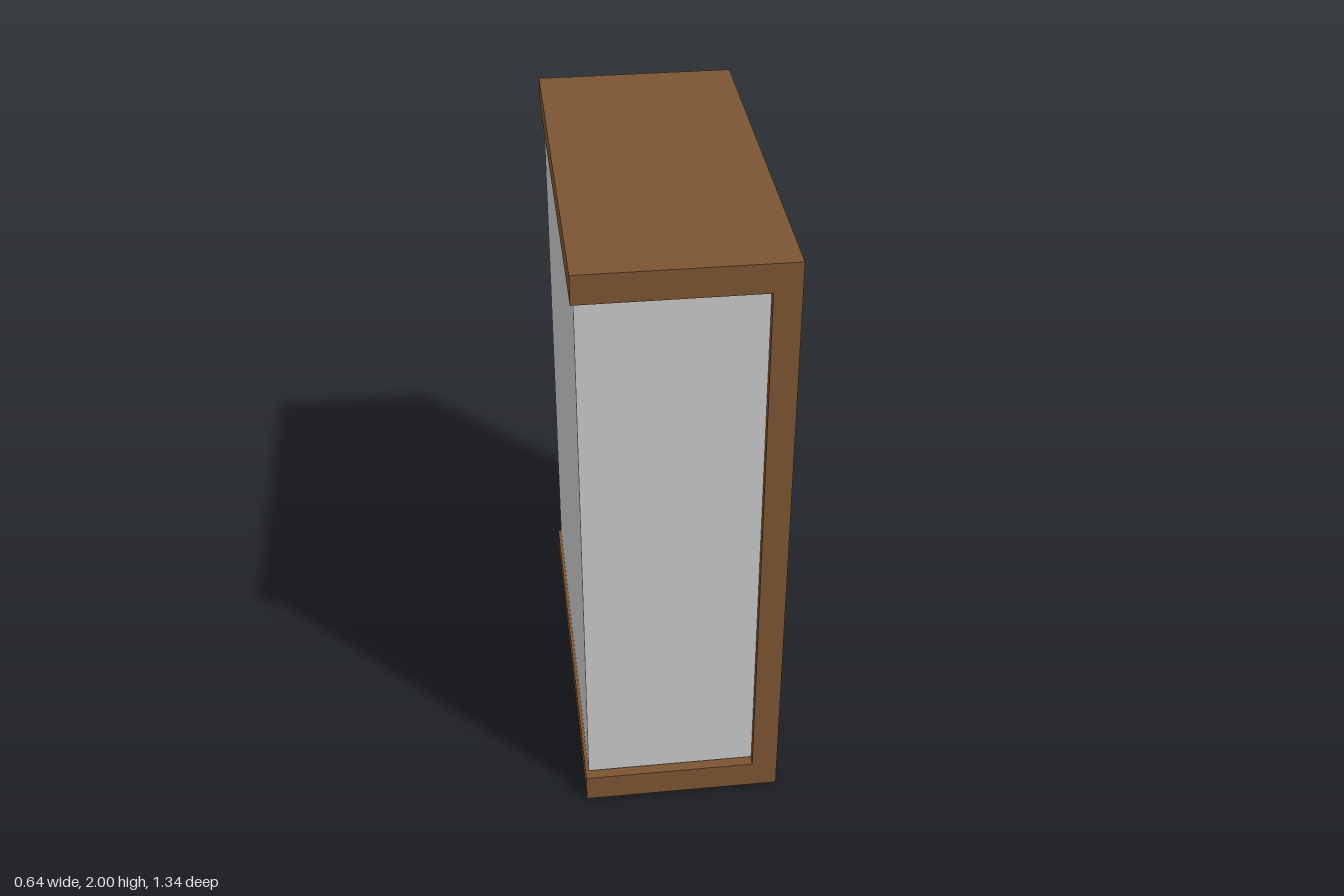
import * as THREE from 'three';

const cover = new THREE.MeshStandardMaterial({ color: 0x7b5533 });
cover.name = 'brownCover';
const paper = new THREE.MeshStandardMaterial({ color: 0xc9c9c9 });
paper.name = 'greyPaper';

export function createModel() {
  const group = new THREE.Group();
  group.name = 'book';

  // Box given by its min and max corners
  const block = (name, material, [x0, y0, z0], [x1, y1, z1]) => {
    const mesh = new THREE.Mesh(new THREE.BoxGeometry(x1 - x0, y1 - y0, z1 - z0), material);
    mesh.position.set((x0 + x1) / 2, (y0 + y1) / 2, (z0 + z1) / 2);
    mesh.name = name;
    group.add(mesh);
  };

  // C-shaped binding: two boards joined by the spine
  const W = 0.32, D = 0.671, spineX = 0.237, low = 0.095, high = 1.907;
  const outline = new THREE.Shape([
    [-W, 0], [W, 0], [W, 2], [-W, 2], [-W, high], [spineX, high], [spineX, low], [-W, low],
  ].map(([x, y]) => new THREE.Vector2(x, y)));
  const binding = new THREE.Mesh(
    new THREE.ExtrudeGeometry(outline, { depth: 2 * D, bevelEnabled: false }), cover);
  binding.position.z = -D;
  binding.name = 'binding';
  group.add(binding);

  // Page block, slightly recessed, with a thin gap above the lower board
  block('pages', paper, [-0.31, 0.105, -0.655], [spineX, high, 0.646]);

  return group;
}
